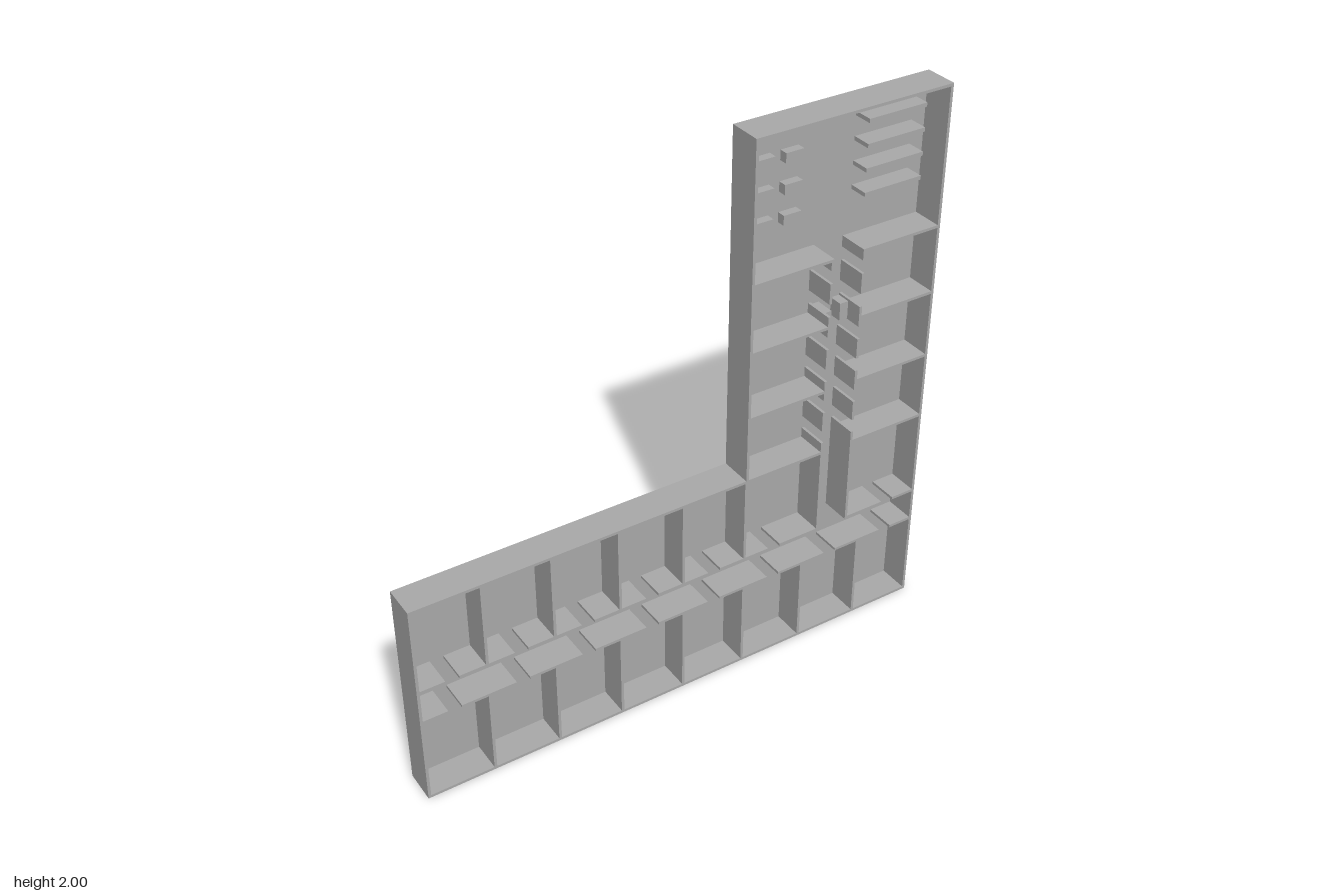
import * as THREE from 'three';

const BACK = -0.06, FRONT = 0.06, FLOOR = -0.05; // depth levels
const T = 0.01; // wall thickness

export function createModel() {
  const model = new THREE.Group();
  model.name = 'floorPlan';
  const grey = new THREE.MeshStandardMaterial({ color: 0xaaaaaa });
  grey.name = 'plain grey';

  function add(name, geometry) {
    const mesh = new THREE.Mesh(geometry, grey);
    mesh.name = name;
    model.add(mesh);
    return mesh;
  }
  // Block standing on the floor plate
  function block(name, x0, x1, y0, y1, top = FRONT) {
    add(name, new THREE.BoxGeometry(x1 - x0, y1 - y0, top - FLOOR))
      .position.set((x0 + x1) / 2, (y0 + y1) / 2, (top + FLOOR) / 2);
  }
  const across = (name, x0, x1, y) => block(name, x0, x1, y - T / 2, y + T / 2);
  const upright = (name, x, y0, y1) => block(name, x - T / 2, x + T / 2, y0, y1);
  // Split a span at its doorways and build each remaining piece
  function withDoors(start, end, doors, width, build) {
    let from = start;
    for (const d of doors) {
      if (d < start || d > end) continue;
      build(from, d - width / 2);
      from = d + width / 2;
    }
    build(from, end);
  }

  // L-shaped outline, inset by i
  const outline = (i) => [
    [-0.975 + i, i], [0.975 - i, i], [0.975 - i, 2 - i],
    [0.242 + i, 2 - i], [0.242 + i, 0.782 - i], [-0.975 + i, 0.782 - i],
  ].map(([x, y]) => new THREE.Vector2(x, y));

  // Floor plate and outer wall
  const floor = new THREE.ExtrudeGeometry(new THREE.Shape(outline(0)),
    { depth: FLOOR - BACK, bevelEnabled: false });
  add('floor', floor.translate(0, 0, BACK));
  const ring = new THREE.Shape(outline(0));
  ring.holes.push(new THREE.Path(outline(T)));
  const wall = new THREE.ExtrudeGeometry(ring, { depth: FRONT - FLOOR, bevelEnabled: false });
  add('outerWall', wall.translate(0, 0, FLOOR));

  // Room dividers of the long wing
  for (let i = -3; i <= 3; i++) {
    const x = i * 0.2435;
    upright('lowerRoomDivider', x, T, 0.33);
    if (i <= 1) upright('upperRoomDivider', x, 0.455, 0.775);
  }

  // Corridor walls of the long wing, with doorways
  const doorsX = Array.from({ length: 8 }, (_, i) => -0.853 + i * 0.2435);
  withDoors(-0.965, 0.965, doorsX, 0.048, (a, b) => across('lowerCorridorWall', a, b, 0.33));
  withDoors(-0.965, 0.553, doorsX, 0.048, (a, b) => across('upperCorridorWall', a, b, 0.455));
  withDoors(0.667, 0.965, doorsX, 0.048, (a, b) => across('upperCorridorWall', a, b, 0.455));

  // Corridor walls and room dividers of the tall wing
  const doorsY = Array.from({ length: 6 }, (_, i) => 0.843 + i * 0.1217);
  for (const x of [0.548, 0.672]) {
    withDoors(0.45, 1.515, doorsY, 0.048, (a, b) => upright('tallCorridorWall', x, a, b));
  }
  for (const y of [0.778, 1.022, 1.266, 1.51]) {
    across('leftWingDivider', 0.247, 0.55, y);
    across('rightWingDivider', 0.67, 0.965, y);
  }

  // Open hall: desks and shelves
  for (const y of [1.653, 1.757, 1.862]) {
    for (const x of [0.338, 0.443]) block('desk', x - 0.033, x + 0.033, y - 0.017, y + 0.017, -0.02);
  }
  for (const y of [1.68, 1.763, 1.845, 1.928]) {
    block('shelf', 0.69, 0.912, y - 0.007, y + 0.007, 0.018);
  }

  // Corridor fittings
  block('leftCabinet', 0.55, 0.585, 1.235, 1.298, 0.02);
  block('rightCabinet', 0.635, 0.67, 1.235, 1.298, 0.0);

  return model;
}
